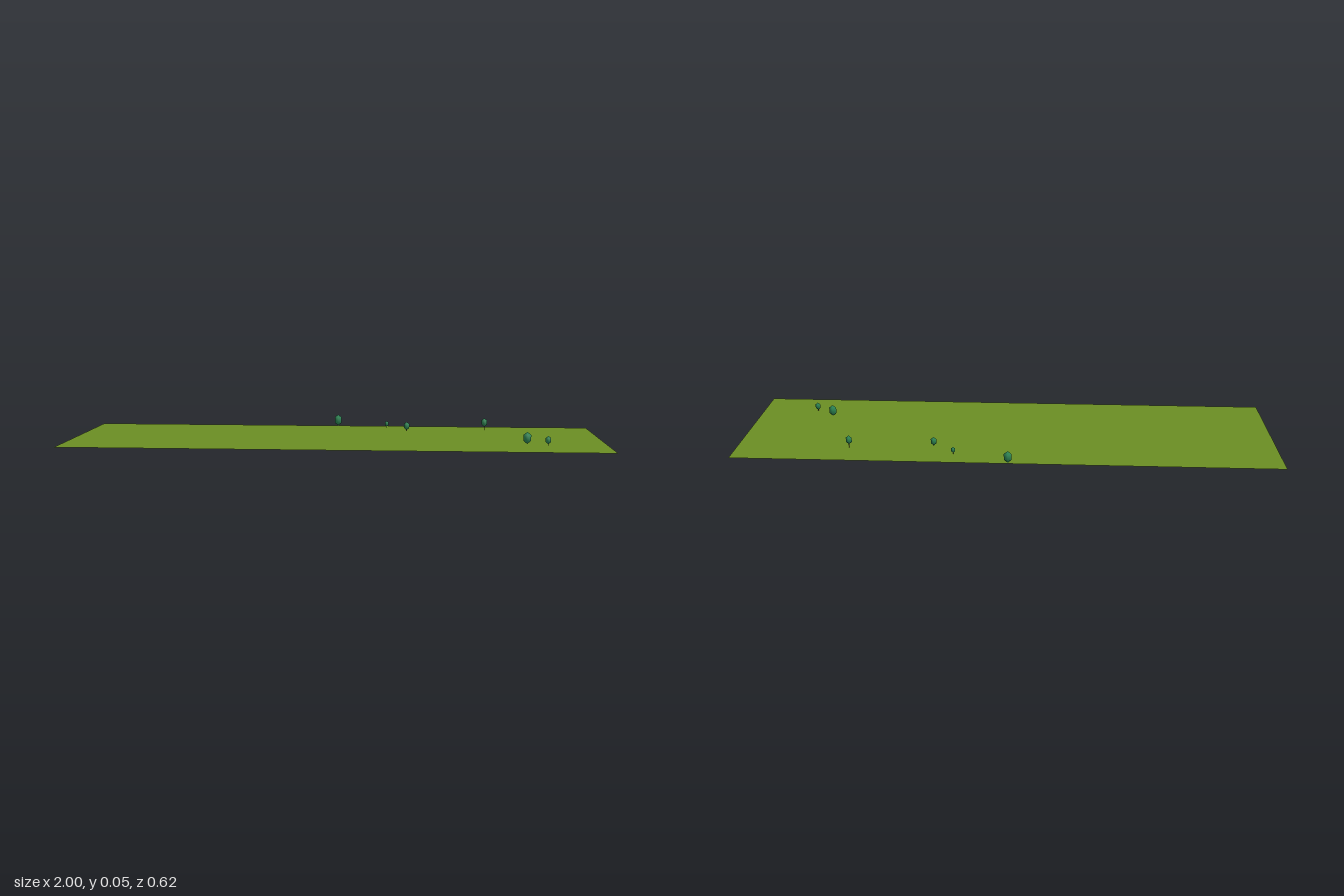
import * as THREE from 'three';

const grass = new THREE.MeshStandardMaterial({ color: 0x6b8e23, side: THREE.DoubleSide });
const leaves = new THREE.MeshStandardMaterial({ color: 0x2e8b57 });
const bark = new THREE.MeshStandardMaterial({ color: 0x5c3a21 });

// Each tree: x, z, crown bottom, crown top, crown half width
const TREES = [
  [0.78, 0.172, 0.008, 0.038, 0.0098],
  [0.71, 0.128, 0.001, 0.0455, 0.0141],
  [0.27, -0.161, 0.005, 0.038, 0.0105],
  [0.58, -0.193, 0.017, 0.051, 0.011],
  [0.19, -0.233, 0.008, 0.031, 0.0074],
  [-0.012, -0.297, 0.002, 0.047, 0.0141],
];
const TRUNK_BASE = 0.004;

function makeTree([x, z, bottom, top, halfWidth]) {
  const tree = new THREE.Group();
  tree.name = 'tree';
  tree.position.set(x, 0, z);

  // Four-sided crown: straight middle band with pointed ends
  const middle = (bottom + top) / 2;
  const ringRadius = Math.sin(Math.PI / 3);
  const crown = new THREE.Mesh(new THREE.SphereGeometry(1, 4, 3), leaves);
  crown.name = 'crown';
  crown.scale.set(halfWidth / ringRadius, (top - bottom) / 2, halfWidth / ringRadius);
  crown.position.y = middle;

  // Thin trunk reaching into the crown
  const height = middle - TRUNK_BASE;
  const trunk = new THREE.Mesh(new THREE.CylinderGeometry(0.0016, 0.0016, height, 6), bark);
  trunk.name = 'trunk';
  trunk.position.y = TRUNK_BASE + height / 2;

  tree.add(crown, trunk);
  return tree;
}

export function createModel() {
  const model = new THREE.Group();
  model.name = 'field';

  // Flat strip of grass
  const ground = new THREE.Mesh(new THREE.PlaneGeometry(2, 0.61), grass);
  ground.name = 'ground';
  ground.rotation.x = -Math.PI / 2;
  ground.position.z = 0.004;
  model.add(ground);

  // Scattered trees
  for (const spec of TREES) model.add(makeTree(spec));
  return model;
}
